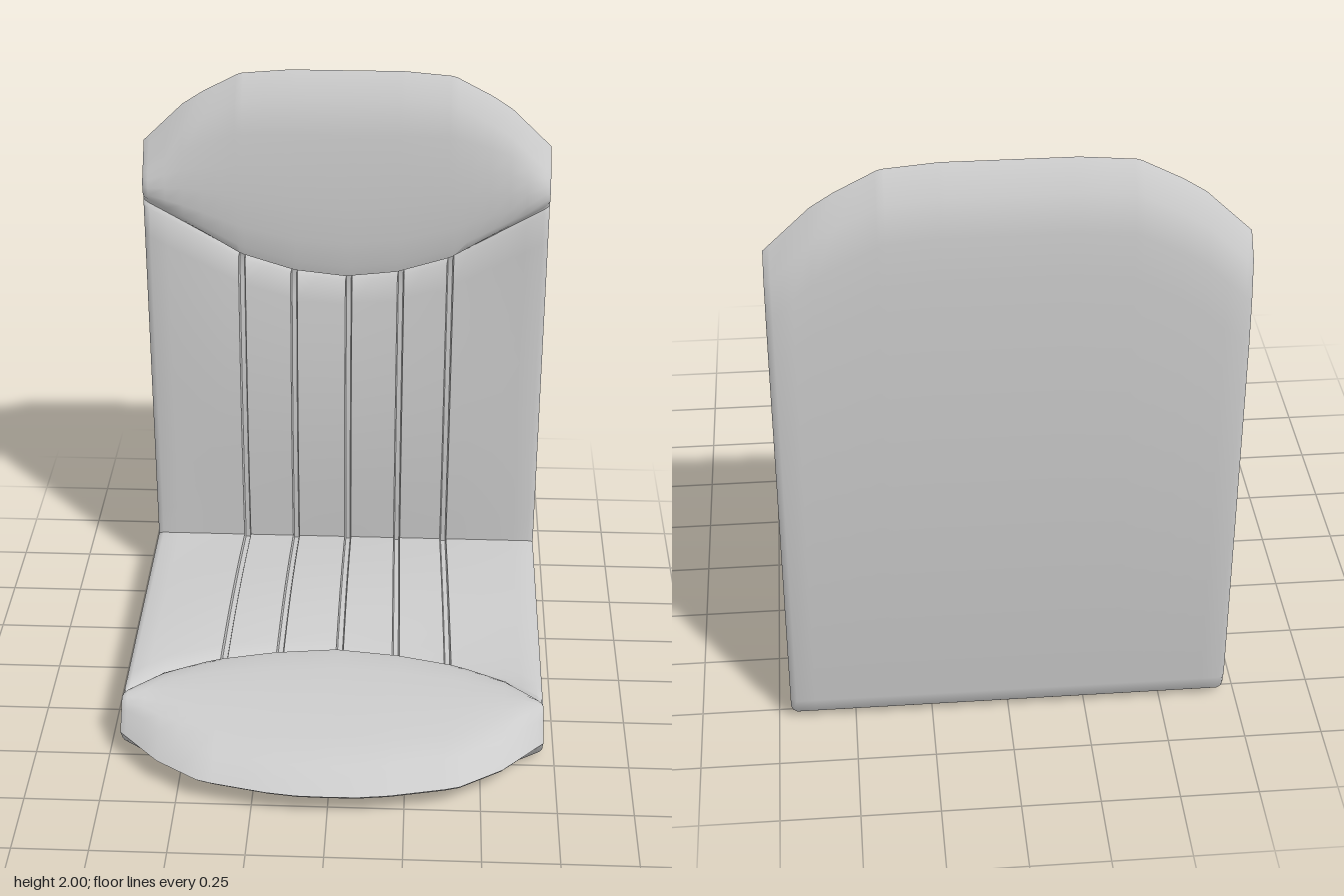
import * as THREE from 'three';
import { toCreasedNormals } from 'three/addons/utils/BufferGeometryUtils.js';

const HALF = 0.71;
const GROOVES = [-0.37, -0.185, 0.01, 0.195, 0.37];

// Piecewise-linear curve lookup over |x|
function lerpCurve(pts, x) {
  const a = Math.abs(x);
  for (let i = 1; i < pts.length; i++) {
    const [x0, y0] = pts[i - 1], [x1, y1] = pts[i];
    if (a <= x1 + 1e-6) return y0 + (y1 - y0) * (a - x0) / (x1 - x0);
  }
  return pts[pts.length - 1][1];
}

// v runs along the panel, w through its thickness
const SEAT = {
  start: -0.635, spread: 0.07,
  tip: [[0, 0.815], [0.1, 0.813], [0.2, 0.8], [0.42, 0.75], [0.57, 0.65], [HALF, 0.5]],
  seam: [[0, 0.085], [0.2, 0.112], [0.4, 0.165], [0.57, 0.25], [HALF, 0.38]],
  map: (x, v, w) => [x, w, v],
};
const BACK = {
  start: 0.18, spread: 0,
  tip: [[0, 2], [0.2, 2], [0.37, 1.985], [0.55, 1.89], [HALF, 1.735]],
  seam: [[0, 1.245], [0.18, 1.265], [0.37, 1.325], [HALF, 1.535]],
  map: (x, v, w) => [x, v, w - 0.815],
};

// One slice of a panel: slatted area, end pad and underside
function panelSlice(panel, x, groove, edge) {
  const c = 1 - (x / HALF) ** 2;
  const tip = lerpCurve(panel.tip, x), seam = lerpCurve(panel.seam, x);
  const at = (v, w, k = 0) => panel.map(x * (1 + panel.spread * k * c), v, w);

  // Gently arched slats that sink toward the seam
  const slats = [], rows = 12, from = panel.start - groove - edge;
  let w = 0;
  for (let i = 0; i <= rows; i++) {
    const t = i / rows;
    w = 0.18 + c * (0.02 * Math.sin(Math.PI * t) - 0.025 * t ** 3) - groove - edge;
    slats.push(at(from + (seam - 0.008 - from) * t, w, t));
  }
  const valley = at(seam + 0.008, 0.18 - c * 0.034 - edge - 0.008, 1);
  slats.push(valley);

  // Rounded pad ending in a bevelled rim
  const a = seam + 0.02, rim = tip - Math.min(0.08, 0.35 * (tip - seam));
  const pad = [valley];
  for (const [f, h] of [[0, 0.176], [0.06, 0.186], [0.2, 0.193], [0.4, 0.194], [0.6, 0.187], [0.8, 0.175], [1, 0.155]])
    pad.push(at(a + (rim - a) * f, h - edge, 1 - f));
  const end = at(tip, 0.092);
  pad.push(end);

  const under = [end, at(rim, 0.025 + edge), at(tip - 0.2, 0.007 + edge), at(tip - 0.35, edge)];
  return { slats, pad, under };
}

// Full L-shaped cross-section split into named strips
function section({ x, groove, edge }) {
  const s = panelSlice(SEAT, x, groove, edge), b = panelSlice(BACK, x, groove, edge);
  const corner = [[0.09, -0.815], [0.035, -0.802], [0.01, -0.775], [0, -0.72]]
    .map(([y, z]) => [x, y + edge, z + edge]);
  return {
    rearShell: [...b.under, ...corner, ...s.under.reverse()],
    seatFrontPad: s.pad.reverse(),
    seatSlats: s.slats.reverse(),
    backrestSlats: b.slats,
    headPad: b.pad,
  };
}

// Columns across the width, with extra ones at each groove
function columns() {
  const cols = [];
  const add = (x, groove = 0, edge = 0) => cols.push({ x, groove, edge });
  for (const s of [-1, 1]) {
    add(s * HALF, 0, 0.013);
    add(s * 0.704, 0, 0.005);
    for (const x of [0.69, 0.63, 0.57, 0.5, 0.43, 0.28, 0.1]) add(s * x);
  }
  for (const g of GROOVES) for (const s of [-1, 1]) {
    add(g + s * 0.012);
    add(g + s * 0.008, 0.02);
  }
  return cols.sort((p, q) => p.x - q.x);
}

function toGeometry(triangles) {
  const g = new THREE.BufferGeometry();
  g.setAttribute('position', new THREE.Float32BufferAttribute(triangles.flat(2), 3));
  g.computeVertexNormals();
  return g;
}

// Skin between neighbouring cross-sections
function skin(lines) {
  const tris = [];
  for (let i = 0; i + 1 < lines.length; i++)
    for (let j = 0; j + 1 < lines[i].length; j++) {
      const a = lines[i][j], b = lines[i + 1][j], c = lines[i + 1][j + 1], d = lines[i][j + 1];
      tris.push([a, b, c], [a, c, d]);
    }
  return toCreasedNormals(toGeometry(tris), 0.85);
}

// Flat side face closing a cross-section
function sideCap(parts, sign) {
  const loop = Object.values(parts).flatMap((p) => p.slice(0, -1));
  const flat = loop.map((p) => new THREE.Vector2(p[2], p[1]));
  const tris = THREE.ShapeUtils.triangulateShape(flat, []).map(([a, b, c]) => {
    const area = THREE.ShapeUtils.area([flat[a], flat[b], flat[c]]);
    return (area * sign < 0 ? [a, b, c] : [a, c, b]).map((i) => loop[i]);
  });
  return toGeometry(tris);
}

export function createModel() {
  const group = new THREE.Group();
  group.name = 'seatShell';
  const material = new THREE.MeshStandardMaterial({ color: 0xcccccc });
  const add = (name, geometry) => {
    const mesh = new THREE.Mesh(geometry, material);
    mesh.name = name;
    group.add(mesh);
  };

  const sections = columns().map(section);
  for (const name of Object.keys(sections[0])) add(name, skin(sections.map((s) => s[name])));
  add('rightSide', sideCap(sections[0], -1));
  add('leftSide', sideCap(sections[sections.length - 1], 1));
  return group;
}
